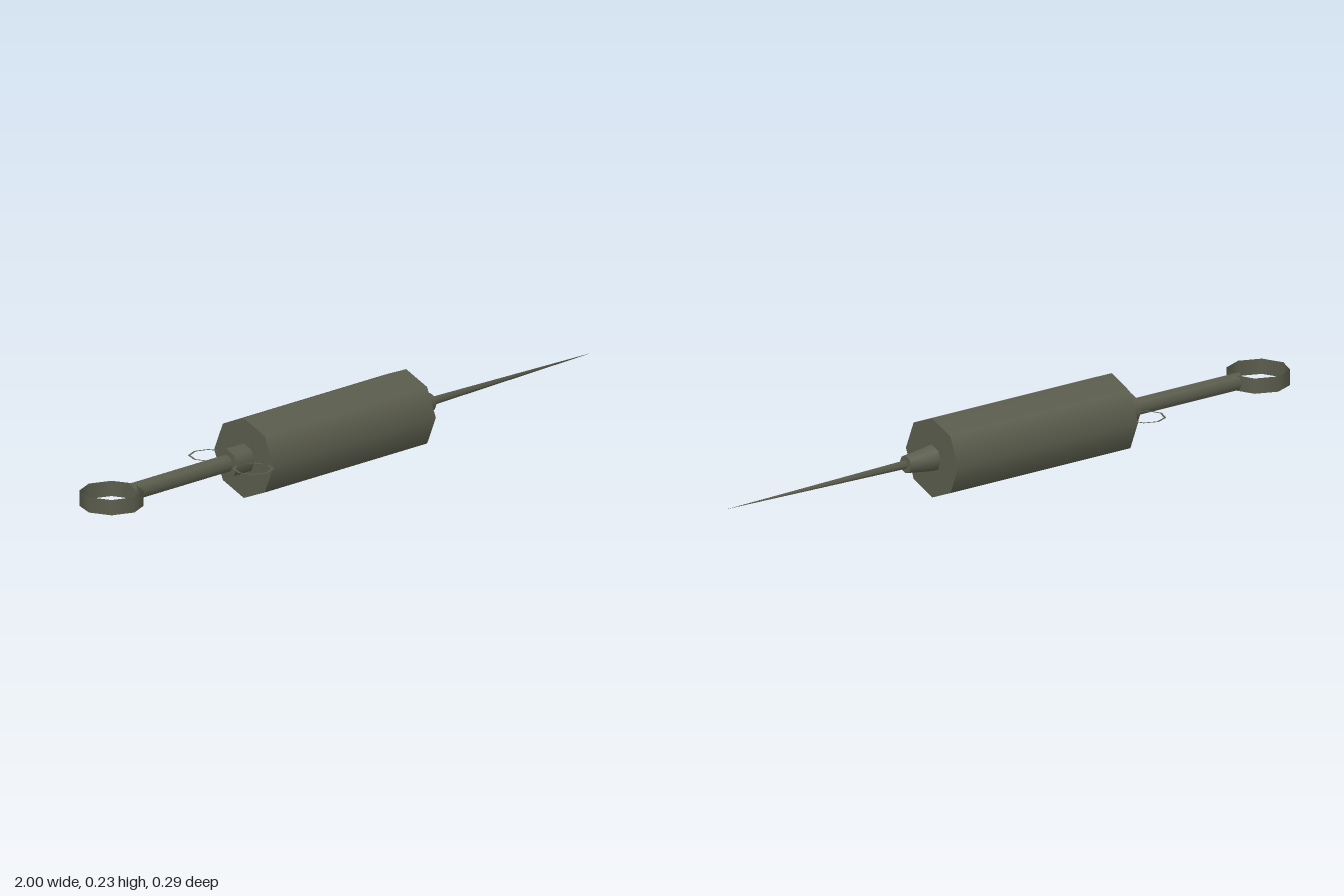
import * as THREE from 'three';

const AXIS_Y = 0.117;

export function createModel() {
  const group = new THREE.Group();
  const metal = new THREE.MeshStandardMaterial({ color: 0x5a5c4c, side: THREE.DoubleSide });
  metal.name = 'dark olive metal';

  const add = (name, geometry, x, z = 0) => {
    const mesh = new THREE.Mesh(geometry, metal);
    mesh.name = name;
    mesh.position.set(x, AXIS_Y, z);
    group.add(mesh);
  };

  // A round section along x, from x0 (radius r0) to x1 (radius r1)
  const section = (name, x0, x1, r0, r1, sides = 8) => {
    const geometry = new THREE.CylinderGeometry(r1, r0, x1 - x0, sides);
    geometry.rotateZ(-Math.PI / 2);
    add(name, geometry, (x0 + x1) / 2);
  };

  section('barrel', -0.385, 0.26, 0.117, 0.117);
  section('collar', -0.455, -0.385, 0.043, 0.043);
  section('plungerRod', -0.84, -0.455, 0.026, 0.026);
  section('nozzle', 0.26, 0.355, 0.039, 0.026);
  section('needle', 0.355, 1.0, 0.013, 0, 4);

  // Thumb ring: an open band at the end of the rod
  add('thumbRing', new THREE.CylinderGeometry(0.09, 0.09, 0.045, 8, 1, true), -0.91);

  // Flat finger rings on both sides of the collar
  for (const side of [-1, 1]) {
    const ring = new THREE.RingGeometry(0.051, 0.058, 8);
    ring.rotateX(-Math.PI / 2);
    add(side > 0 ? 'frontFingerRing' : 'backFingerRing', ring, -0.436, side * 0.088);
  }

  return group;
}
